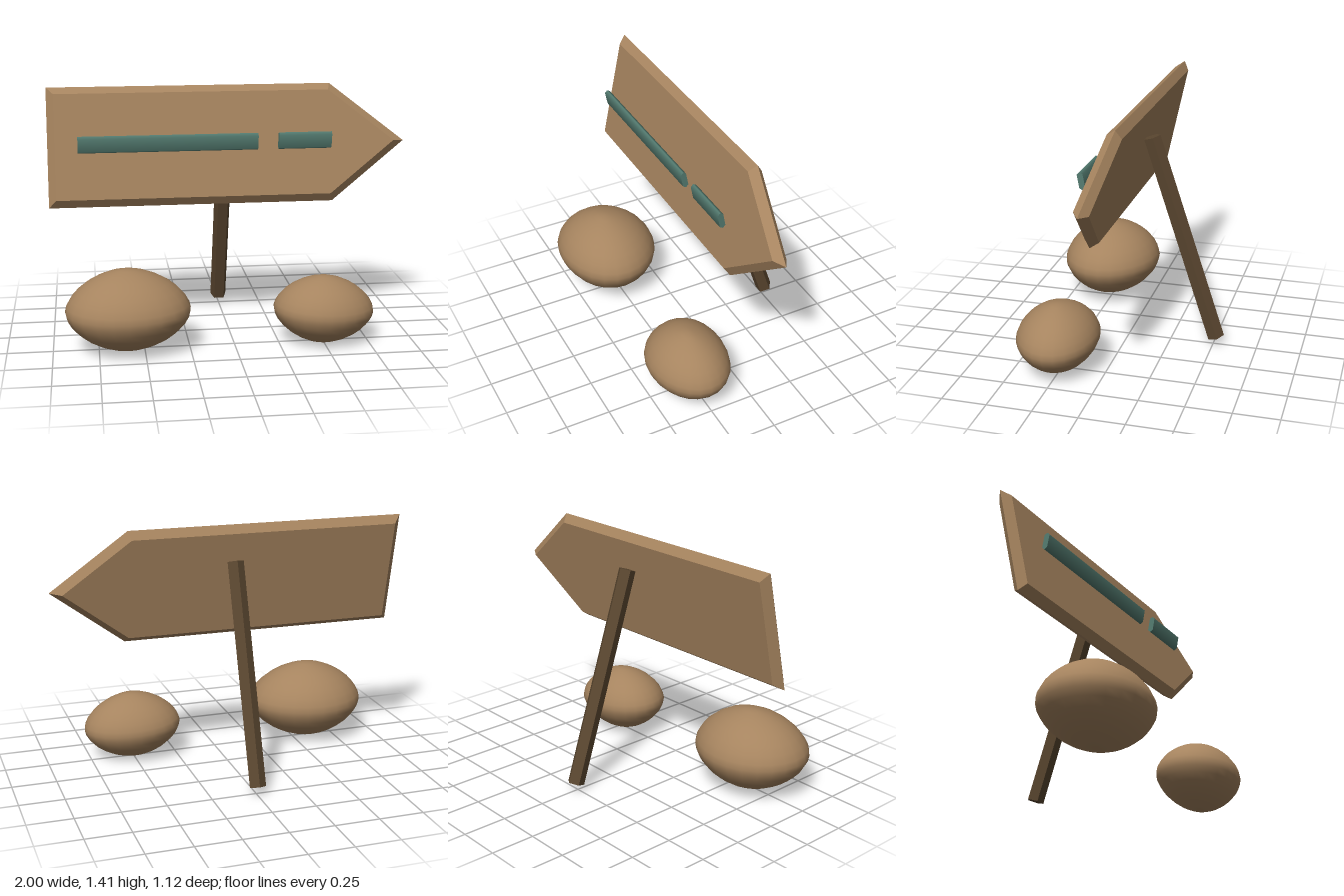
import * as THREE from 'three';
import { mergeVertices } from 'three/addons/utils/BufferGeometryUtils.js';
import { ConvexGeometry } from 'three/addons/geometries/ConvexGeometry.js';

function material(name, color) {
  const m = new THREE.MeshStandardMaterial({ color });
  m.name = name;
  return m;
}

// Stone: sphere pinched toward a lens at the waist, with a gentle lump around it
function stoneGeometry(rx, ry, rz, phase) {
  let g = new THREE.SphereGeometry(1, 24, 16);
  g.deleteAttribute('uv');
  g.deleteAttribute('normal');
  g = mergeVertices(g, 1e-4);
  const p = g.attributes.position;
  for (let i = 0; i < p.count; i++) {
    const x = p.getX(i), y = p.getY(i), z = p.getZ(i);
    const c = Math.hypot(x, z), a = Math.atan2(z, x);
    const lump = 0.99 + 0.015 * Math.sin(3 * a + phase);
    const k = c > 1e-4 ? Math.pow(c, 0.17) * lump : 1;
    p.setXYZ(i, x * k * rx, Math.sign(y) * Math.pow(Math.abs(y), 1.17) * ry, z * k * rz);
  }
  g.computeVertexNormals();
  return g;
}

// Bar along x with a stretched six-sided section, smooth sides and flat ends
function barGeometry(length) {
  const g = new THREE.CylinderGeometry(1, 1, length, 6);
  const p = g.attributes.position;
  for (let i = 0; i < p.count; i++) {
    const z = p.getZ(i);
    if (Math.abs(z) < 0.9) p.setZ(i, z * 1.5);
  }
  // section's long axis becomes y, cylinder axis becomes x
  g.rotateZ(-Math.PI / 2);
  g.rotateX(-Math.PI / 2);
  g.scale(1, 0.0486, 0.0185);
  return g;
}

export function createModel() {
  const group = new THREE.Group();
  const tan = material('tan', 0xa6845f);
  const darkWood = material('darkWood', 0x5b4730);
  const teal = material('teal', 0x557d72);

  function add(name, geometry, mat, x, y, z) {
    const mesh = new THREE.Mesh(geometry, mat);
    mesh.name = name;
    mesh.position.set(x, y, z);
    group.add(mesh);
    return mesh;
  }

  // Arrow board: full outline at mid thickness, inset outline on front and back
  const outer = [[-1, 0.331], [-1, -0.331], [0.58, 0.331], [0.58, -0.331], [1, 0]];
  const inner = [[-0.96, 0.291], [-0.96, -0.291], [0.566, 0.291], [0.566, -0.291], [0.935, 0]];
  const points = [];
  for (const [outline, z] of [[inner, 0.041], [outer, 0], [inner, -0.041]])
    for (const [x, y] of outline) points.push(new THREE.Vector3(x, y, z));
  add('arrowBoard', new ConvexGeometry(points), tan, 0, 1.088, -0.013).rotation.x = -0.216;

  // Leaning five-sided post, edge toward the back
  const post = new THREE.CylinderGeometry(0.0487, 0.0487, 1.226, 5).rotateY(Math.PI).toNonIndexed();
  post.computeVertexNormals();
  add('post', post, darkWood, 0, 0.633, -0.322).rotation.x = 0.32;

  // Long and short bars in front of the board
  for (const [name, x0, x1] of [['longBar', -0.835, 0.15], ['shortBar', 0.265, 0.56]])
    add(name, barGeometry(x1 - x0), teal, (x0 + x1) / 2, 1.1215, 0.1045).rotation.x = 0.19;

  // Two stones
  add('largeStone', stoneGeometry(0.346, 0.228, 0.293, 0.6), tan, -0.59, 0.238, 0.27);
  add('smallStone', stoneGeometry(0.284, 0.192, 0.229, 2.4), tan, 0.498, 0.197, 0.268).rotation.z = -0.05;

  return group;
}
